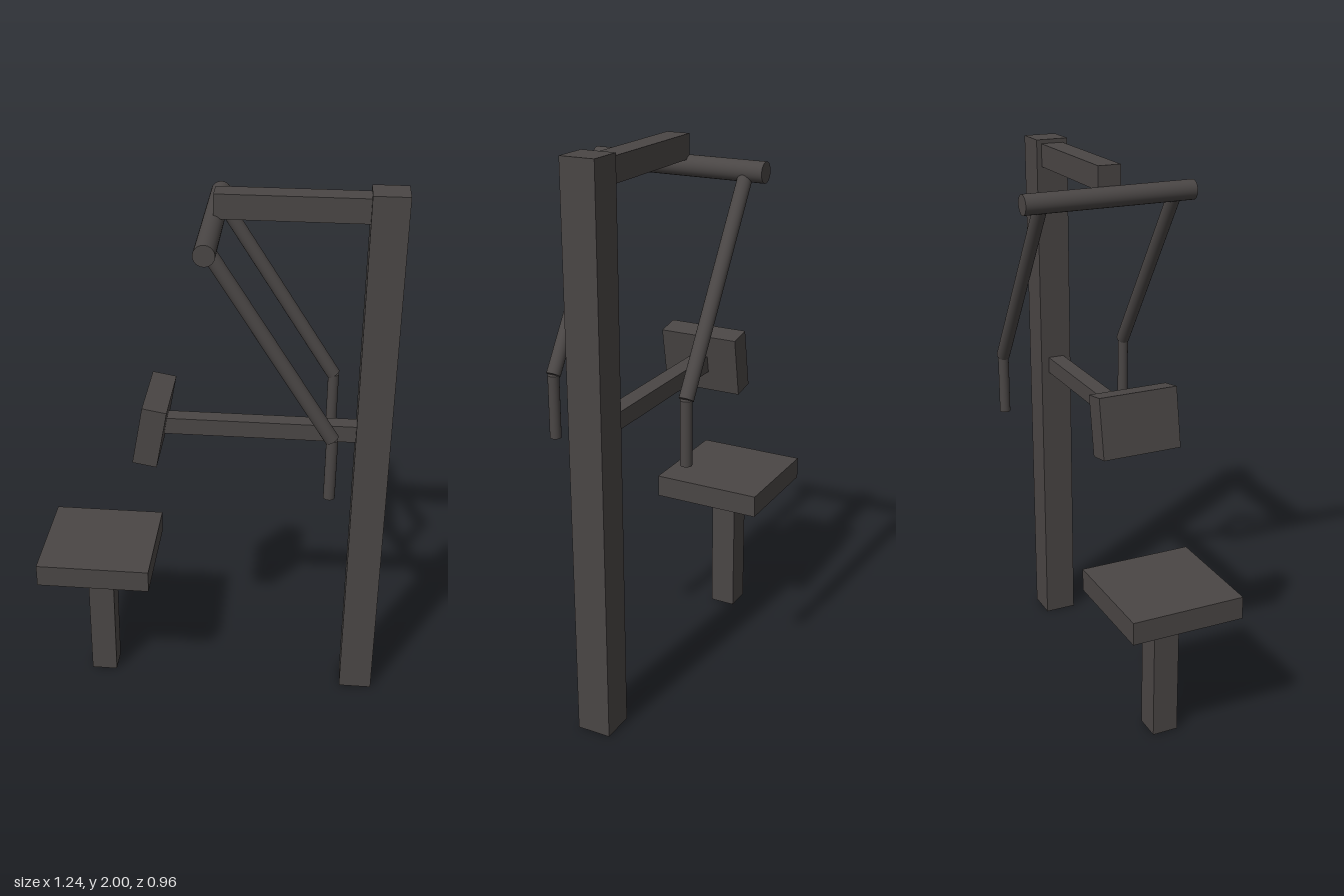
import * as THREE from 'three';

export function createModel() {
  const steel = new THREE.MeshStandardMaterial({ color: 0x4a4645 });
  steel.name = 'darkGrey';

  const model = new THREE.Group();
  model.name = 'pressMachine';
  // Local x runs from seat to post; the whole machine is turned 30 degrees
  const machine = new THREE.Group();
  machine.name = 'machine';
  machine.rotation.y = -Math.PI / 6;
  model.add(machine);

  const add = (name, geometry, x, y, z = 0) => {
    const mesh = new THREE.Mesh(geometry, steel);
    mesh.name = name;
    mesh.position.set(x, y, z);
    machine.add(mesh);
    return mesh;
  };
  // Box spanning x0..x1 and y0..y1, centred across the machine
  const box = (name, x0, x1, y0, y1, depth) =>
    add(name, new THREE.BoxGeometry(x1 - x0, y1 - y0, depth), (x0 + x1) / 2, (y0 + y1) / 2);
  // Cylinder running between two points
  const rod = (name, a, b, radius) => {
    const from = new THREE.Vector3(...a), to = new THREE.Vector3(...b);
    const dir = to.clone().sub(from);
    const mid = from.clone().add(to).multiplyScalar(0.5);
    const mesh = add(name, new THREE.CylinderGeometry(radius, radius, dir.length(), 32), mid.x, mid.y, mid.z);
    mesh.quaternion.setFromUnitVectors(new THREE.Vector3(0, 1, 0), dir.normalize());
  };

  // Upright frame
  box('mainPost', 0.557, 0.68, 0, 2, 0.123);
  box('topBeam', 0.045, 0.56, 1.9, 1.985, 0.085);
  box('padSupport', -0.14, 0.56, 1.085, 1.147, 0.062);

  // Seat
  box('seatPost', -0.433, -0.335, 0, 0.52, 0.097);
  box('seat', -0.594, -0.174, 0.509, 0.593, 0.42);

  // Tilted back pad
  const pad = add('backPad', new THREE.BoxGeometry(0.088, 0.221, 0.298), -0.167, 1.127);
  pad.rotation.z = -THREE.MathUtils.degToRad(10);

  // Pivot bar with a slanted arm and a hanging grip on each side
  rod('pivotBar', [0.041, 1.877, -0.322], [0.041, 1.877, 0.322], 0.036);
  for (const [side, z] of [['left', -0.253], ['right', 0.253]]) {
    rod(side + 'Arm', [0.041, 1.877, z], [0.47, 1.215, z], 0.025);
    rod(side + 'Grip', [0.47, 0.988, z], [0.47, 1.215, z], 0.02);
  }
  return model;
}
